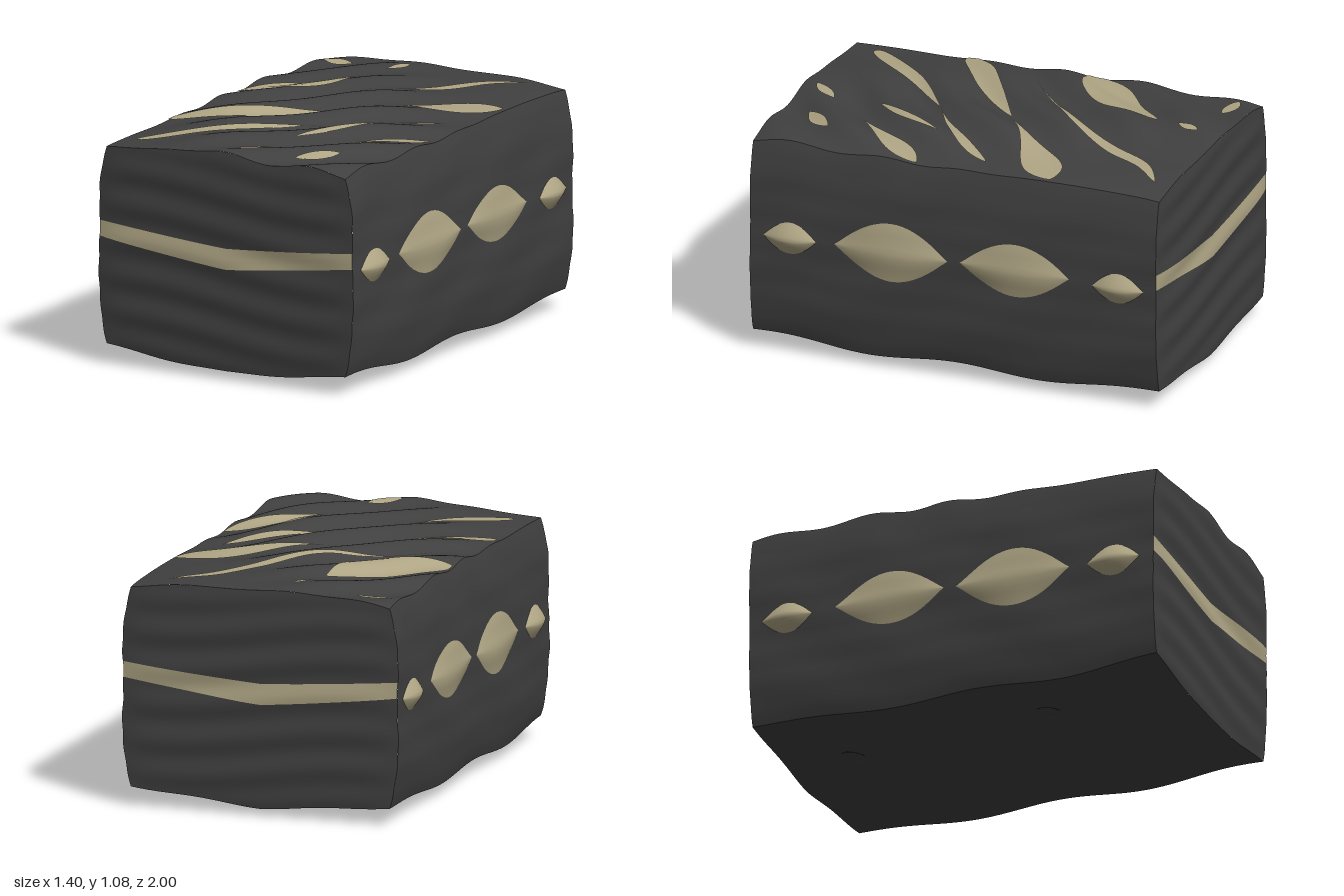
import * as THREE from 'three';

const rock = new THREE.MeshStandardMaterial({ color: 0x404040 });
rock.name = 'dark rock';
const vein = new THREE.MeshStandardMaterial({ color: 0xb0a685 });
vein.name = 'tan mineral';

const W = 0.62, END = 0.985;
const { sin, cos, abs, pow, PI } = Math;
const lerp = THREE.MathUtils.lerp;

// Height of the ridged top: diagonal furrows that soften toward the long edges
function topY(x, z) {
  const k = pow(abs(x) / W, 2);
  const s = x + z + 0.03 * sin(5 * (x - z));
  const ridge = -cos(2 * PI * (s + 0.03) / 0.41) * (0.5 + 0.5 * sin(2.3 * (x - z) + 2));
  return 1.06 - 0.035 * k + (0.024 - 0.012 * k) * ridge + 0.006 * sin(9 * x - 4 * z)
    - 0.012 * pow(abs(z), 6);
}

// Height of the sagging underside, with two pits
function bottomY(x, z) {
  const pit = (px, pz) => 0.05 * Math.exp(-((x - px) ** 2 + (z - pz) ** 2) / 0.004);
  return 0.002 + 0.052 * pow(abs(x) / W, 1.3) + 0.012 * (1 + cos(7.5 * z + 0.6 * x))
    + 0.005 * (1 + sin(11 * x + 8 * z)) + 0.02 * z ** 4 + pit(-0.2, -0.67) + pit(-0.31, 0.33);
}

// Half width at v (0 = bottom edge, 1 = top edge)
function halfWidth(v, z) {
  const bow = 1 - pow(abs(2 * v - 1), 4);
  return W + bow * (0.039 + 0.003 * sin(9 * z + 14 * v) + 0.002 * sin(40 * v));
}

function bodyPoint(u, v, z) {
  const b = bottomY(u * W, z), t = topY(u * W, z);
  return [u * halfWidth(v, z), lerp(b, t, v), z];
}

// Surface patch: fn(u, v) -> [x, y, z]; du x dv points outward
function patch(name, nu, nv, fn, material) {
  const pos = [], idx = [];
  for (let j = 0; j <= nv; j++)
    for (let i = 0; i <= nu; i++) pos.push(...fn(i / nu, j / nv));
  for (let j = 0; j < nv; j++)
    for (let i = 0; i < nu; i++) {
      const a = j * (nu + 1) + i, c = a + nu + 1;
      idx.push(a, a + 1, c + 1, a, c + 1, c);
    }
  const geo = new THREE.BufferGeometry();
  geo.setAttribute('position', new THREE.Float32BufferAttribute(pos, 3));
  geo.setIndex(idx);
  geo.computeVertexNormals();
  const mesh = new THREE.Mesh(geo, material);
  mesh.name = name;
  return mesh;
}

// End face in three layers: rock, tan band, rock
function endFace(name, side) {
  const g = new THREE.Group();
  g.name = name;
  const toV = (y, u) => {
    const b = bottomY(u * W, side * END), t = topY(u * W, side * END);
    return (y - b) / (t - b);
  };
  const rise = u => pow(abs(u), 1.15);
  const low = u => toV(0.52 + 0.077 * rise(u), u);
  const high = u => toV(0.615 + 0.055 * rise(u), u);
  const layer = (label, rows, from, to, mat) => g.add(patch(label, 32, rows, (a, b) => {
    const u = side * (2 * a - 1), v = lerp(from(u), to(u), b);
    const p = bodyPoint(u, v, side * END);
    const fade = (1 - u ** 8) * (1 - pow(abs(2 * v - 1), 8));
    p[2] += side * fade * (0.008 + 0.005 * sin(38 * p[1] + 2 * sin(3 * p[0])));
    return p;
  }, mat));
  layer('lowerRock', 26, () => 0, low, rock);
  layer('mineralBand', 4, low, high, vein);
  layer('upperRock', 22, high, () => 1, rock);
  return g;
}

// Top veins: centre line as x, z pairs, half width, position of the widest point
const VEINS = [
  [[-0.58, -0.885, -0.5, -0.88, -0.42, -0.87], 0.035, 0.5],
  [[-0.62, -0.15, -0.46, -0.29, -0.3, -0.44, -0.19, -0.65], 0.11, 0.42],
  [[-0.18, -0.75, -0.145, -0.81, -0.12, -0.87], 0.025, 0.6],
  [[-0.53, 0.11, -0.3, -0.08, 0, -0.32, 0.2, -0.58, 0.32, -0.78, 0.48, -0.91], 0.034, 0.75],
  [[-0.62, 0.44, -0.5, 0.34, -0.3, 0.21, 0, -0.02], 0.055, 0.3],
  [[-0.02, 0.01, 0.2, -0.16, 0.42, -0.32, 0.61, -0.45], 0.09, 0.78],
  [[-0.54, 0.86, -0.38, 0.7, -0.2, 0.51, 0.02, 0.32], 0.04, 0.25],
  [[0.02, 0.32, 0.2, 0.2, 0.4, 0.03, 0.51, -0.1], 0.032, 0.7],
  [[0.12, 0.57, 0.22, 0.43, 0.34, 0.2], 0.02, 0.5],
  [[0.27, 0.6, 0.43, 0.42, 0.61, 0.2], 0.06, 0.68],
  [[0.01, 0.92, 0.08, 0.85, 0.14, 0.79], 0.032, 0.5],
  [[0.28, 0.85, 0.36, 0.78, 0.43, 0.7], 0.03, 0.5],
];

function topVein([line, width, peak], i) {
  const pts = [];
  for (let k = 0; k < line.length; k += 2) pts.push(new THREE.Vector3(line[k], 0, line[k + 1]));
  const curve = new THREE.CatmullRomCurve3(pts);
  const bend = Math.log(0.5) / Math.log(peak);
  return patch('topVein' + (i + 1), 40, 8, (u, v) => {
    const p = curve.getPointAt(u), t = curve.getTangentAt(u);
    const w = width * pow(Math.max(0, sin(PI * pow(u, bend))), 0.8) * (2 * v - 1);
    const x = THREE.MathUtils.clamp(p.x + t.z * w, -0.615, 0.615);
    const z = p.z - t.x * w;
    return [x, topY(x, z) + 0.006, z];
  }, vein);
}

// Side lenses: z centre, half length, y centre, half height, bulge
const LENSES = [
  [0.79, 0.13, 0.58, 0.075, 0.036],
  [0.3, 0.275, 0.585, 0.14, 0.026],
  [-0.3, 0.265, 0.59, 0.127, 0.026],
  [-0.8, 0.125, 0.58, 0.072, 0.036],
];

function sideLens([z0, len, y0, h, bulge], side, i) {
  return patch('sideLens' + (i + 1), 20, 10, (a, b) => {
    const u = 2 * a - 1, v = 2 * b - 1;
    const open = pow(1 - u * u, 1.15);
    const z = z0 - side * u * len, y = y0 + v * h * open;
    const t = topY(W, z), bt = bottomY(W, z);
    const x = halfWidth((y - bt) / (t - bt), z) + 0.001 + bulge * open * (1 - pow(abs(v), 1.3));
    return [side * x, y, z];
  }, vein);
}

export function createModel() {
  const model = new THREE.Group();
  model.name = 'veinedRock';

  // Rock body
  model.add(patch('top', 60, 96, (u, v) => {
    const x = (2 * u - 1) * W, z = (1 - 2 * v) * END;
    return [x, topY(x, z), z];
  }, rock));
  model.add(patch('underside', 48, 80, (u, v) => {
    const x = (2 * u - 1) * W, z = (2 * v - 1) * END;
    return [x, bottomY(x, z), z];
  }, rock));
  model.add(endFace('frontEnd', 1), endFace('backEnd', -1));

  // Long sides with their lenses
  for (const side of [1, -1]) {
    const g = new THREE.Group();
    g.name = side > 0 ? 'leftSide' : 'rightSide';
    g.add(patch('sideRock', 96, 24, (u, v) => bodyPoint(side, v, side * (1 - 2 * u) * END), rock));
    LENSES.forEach((l, i) => g.add(sideLens(l, side, i)));
    model.add(g);
  }

  // Veins in the top furrows
  const veins = new THREE.Group();
  veins.name = 'topVeins';
  VEINS.forEach((d, i) => veins.add(topVein(d, i)));
  model.add(veins);
  return model;
}
